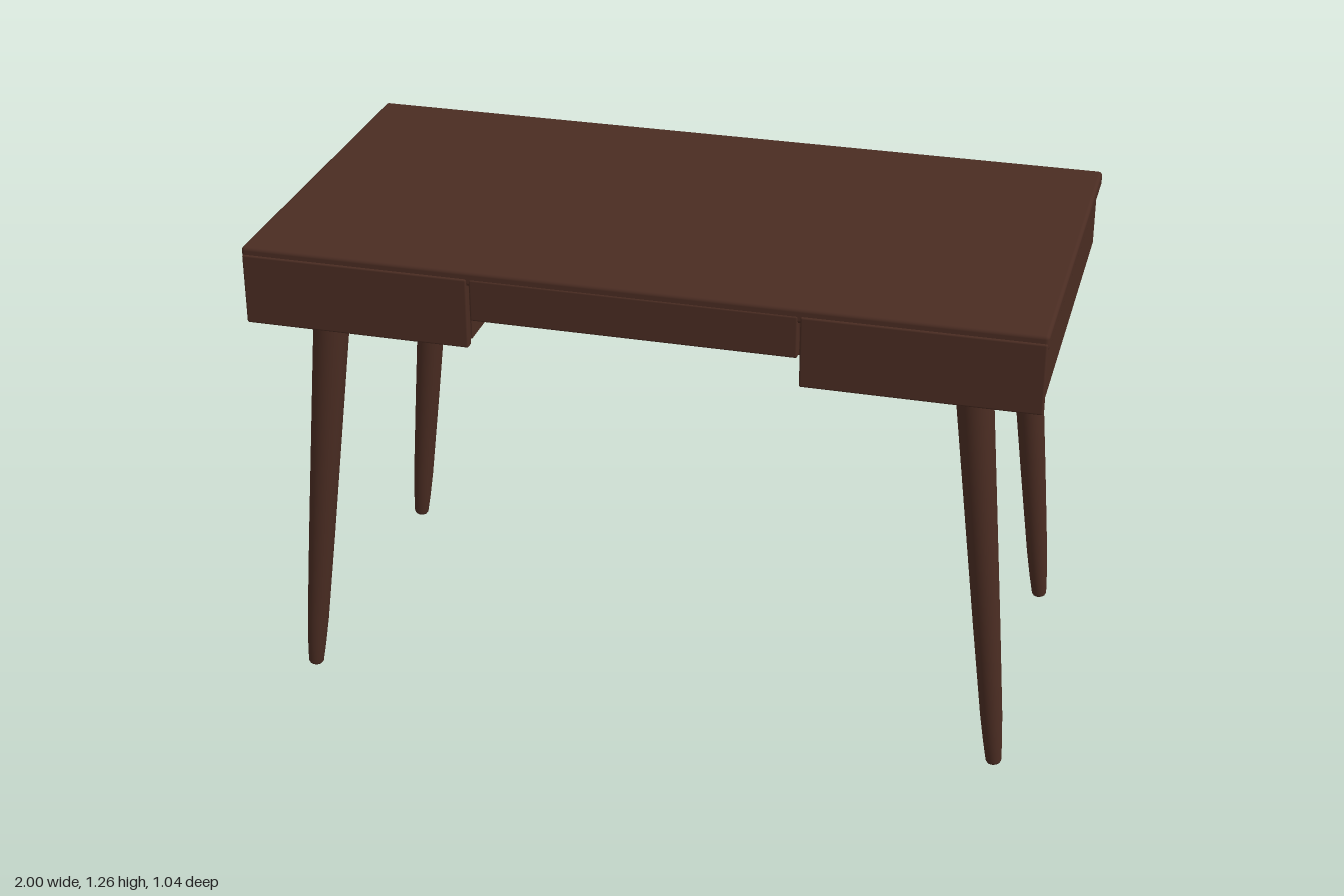
import * as THREE from 'three';
import { RoundedBoxGeometry } from 'three/addons/geometries/RoundedBoxGeometry.js';

const walnut = new THREE.MeshStandardMaterial({ color: 0x4a2c22 });
walnut.name = 'dark walnut';

export function createModel() {
  const desk = new THREE.Group();
  desk.name = 'desk';

  // box given by its limits on each axis, with optional rounded edges
  function block(name, [x0, x1], [y0, y1], [z0, z1], radius = 0) {
    const size = [x1 - x0, y1 - y0, z1 - z0];
    const geometry = radius
      ? new RoundedBoxGeometry(...size, 3, radius)
      : new THREE.BoxGeometry(...size);
    const mesh = new THREE.Mesh(geometry, walnut);
    mesh.name = name;
    mesh.position.set((x0 + x1) / 2, (y0 + y1) / 2, (z0 + z1) / 2);
    desk.add(mesh);
  }

  // table top and shallow middle of the case
  block('tableTop', [-1, 1], [1.22, 1.26], [-0.518, 0.514], 0.01);
  block('middleCase', [-0.42, 0.42], [1.118, 1.221], [-0.504, 0.47]);
  block('middleDrawerFront', [-0.408, 0.408], [1.13, 1.24], [0.488, 0.516], 0.005);

  // tapered leg profile, from foot to top
  const profile = [[0, 0], [0.017, 0], [0.02, 0.006], [0.024, 0.06], [0.028, 0.14],
    [0.034, 0.4], [0.046, 1.042], [0.044, 1.05], [0, 1.05]];
  const legGeometry = new THREE.LatheGeometry(
    profile.map(([r, y]) => new THREE.Vector2(r, y)), 32);

  for (const side of [-1, 1]) {
    const word = side > 0 ? 'left' : 'right';
    const span = (a, b) => (side > 0 ? [a, b] : [-b, -a]);

    // deep side case, drawer front and the rail below it
    block(word + 'Case', span(0.42, 0.99), [1.06, 1.221], [-0.504, 0.47]);
    block(word + 'DrawerFront', span(0.414, 0.997), [1.056, 1.24], [0.493, 0.518], 0.005);
    block(word + 'Rail', span(0.892, 0.922), [1.047, 1.061], [-0.42, 0.42], 0.004);

    // splayed legs, leaning in towards the top
    for (const end of [-1, 1]) {
      const leg = new THREE.Mesh(legGeometry, walnut);
      leg.name = word + (end > 0 ? 'FrontLeg' : 'BackLeg');
      leg.position.set(side * 0.925, 0.002, end * 0.422);
      const lean = new THREE.Vector3(-side * 0.107, 1.048, -end * 0.022).normalize();
      leg.quaternion.setFromUnitVectors(new THREE.Vector3(0, 1, 0), lean);
      desk.add(leg);
    }
  }
  return desk;
}
